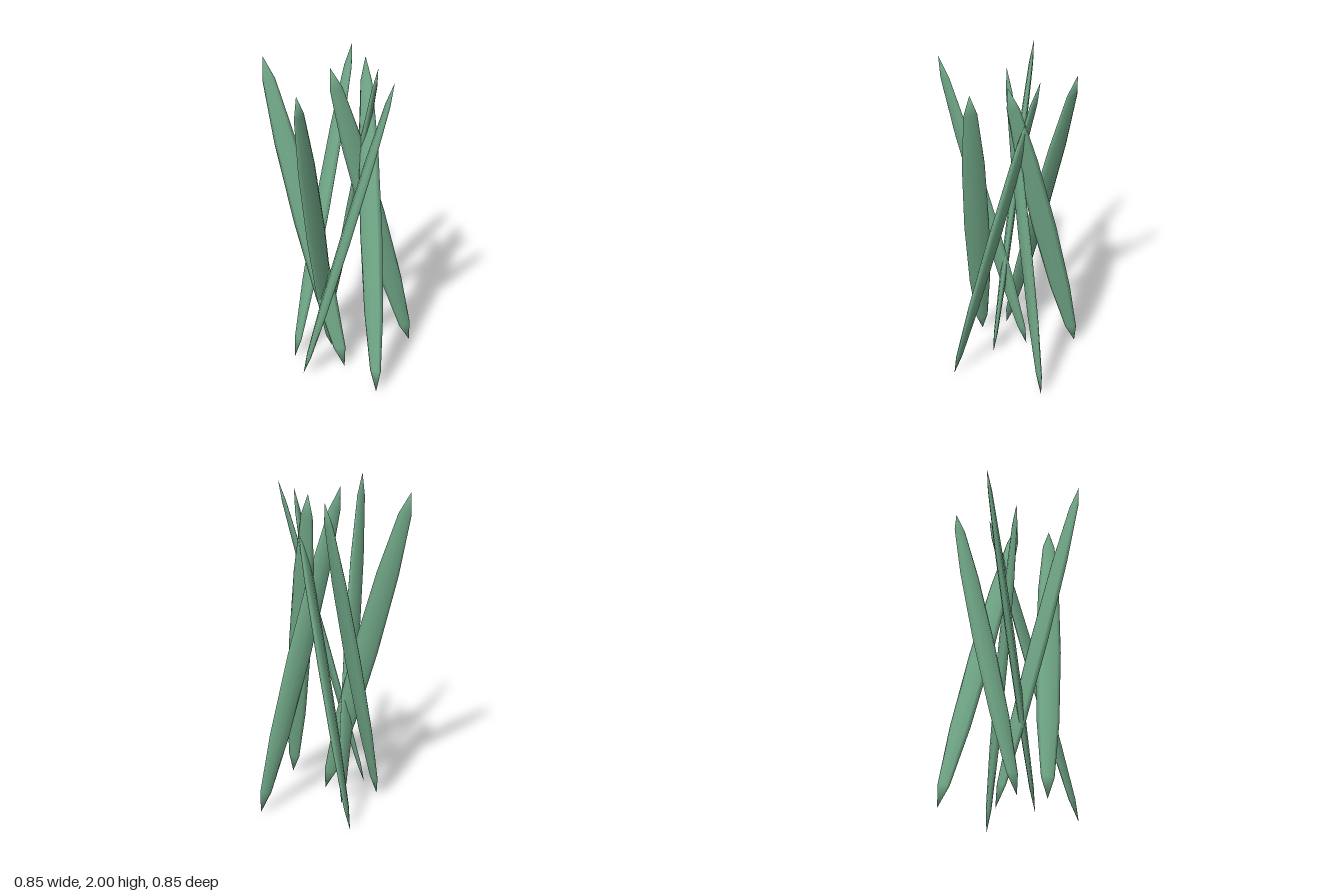
import * as THREE from 'three';

const BLADES = 7;
const TILT = THREE.MathUtils.degToRad(15);
const HALF_LENGTH = 1 / Math.cos(TILT);
const RING_RADIUS = 0.21;
const RING_CENTRE_X = -0.055;

export function createModel() {
  const model = new THREE.Group();
  model.name = 'bladeCluster';

  const leafGreen = new THREE.MeshStandardMaterial({ color: 0x73ab8a });
  leafGreen.name = 'leafGreen';

  // Flattened spindle: wide in x, thin in z
  const bladeGeometry = new THREE.SphereGeometry(1, 8, 6);
  bladeGeometry.scale(0.076, HALF_LENGTH, 0.025);

  const up = new THREE.Vector3(0, 1, 0);
  for (let i = 0; i < BLADES; i++) {
    const angle = (i / BLADES) * Math.PI * 2;
    const lean = Math.PI + 2 * angle; // lean direction turns twice as fast as the ring

    const blade = new THREE.Mesh(bladeGeometry, leafGreen);
    blade.name = `blade${i + 1}`;
    blade.position.set(
      RING_CENTRE_X + RING_RADIUS * Math.cos(angle), 1, RING_RADIUS * Math.sin(angle));

    // Face each blade radially, then lean it over
    const axis = new THREE.Vector3(
      Math.cos(lean) * Math.sin(TILT), Math.cos(TILT), Math.sin(lean) * Math.sin(TILT));
    const yaw = new THREE.Quaternion().setFromAxisAngle(up, -angle);
    blade.quaternion.setFromUnitVectors(up, axis).multiply(yaw);
    model.add(blade);
  }
  return model;
}
